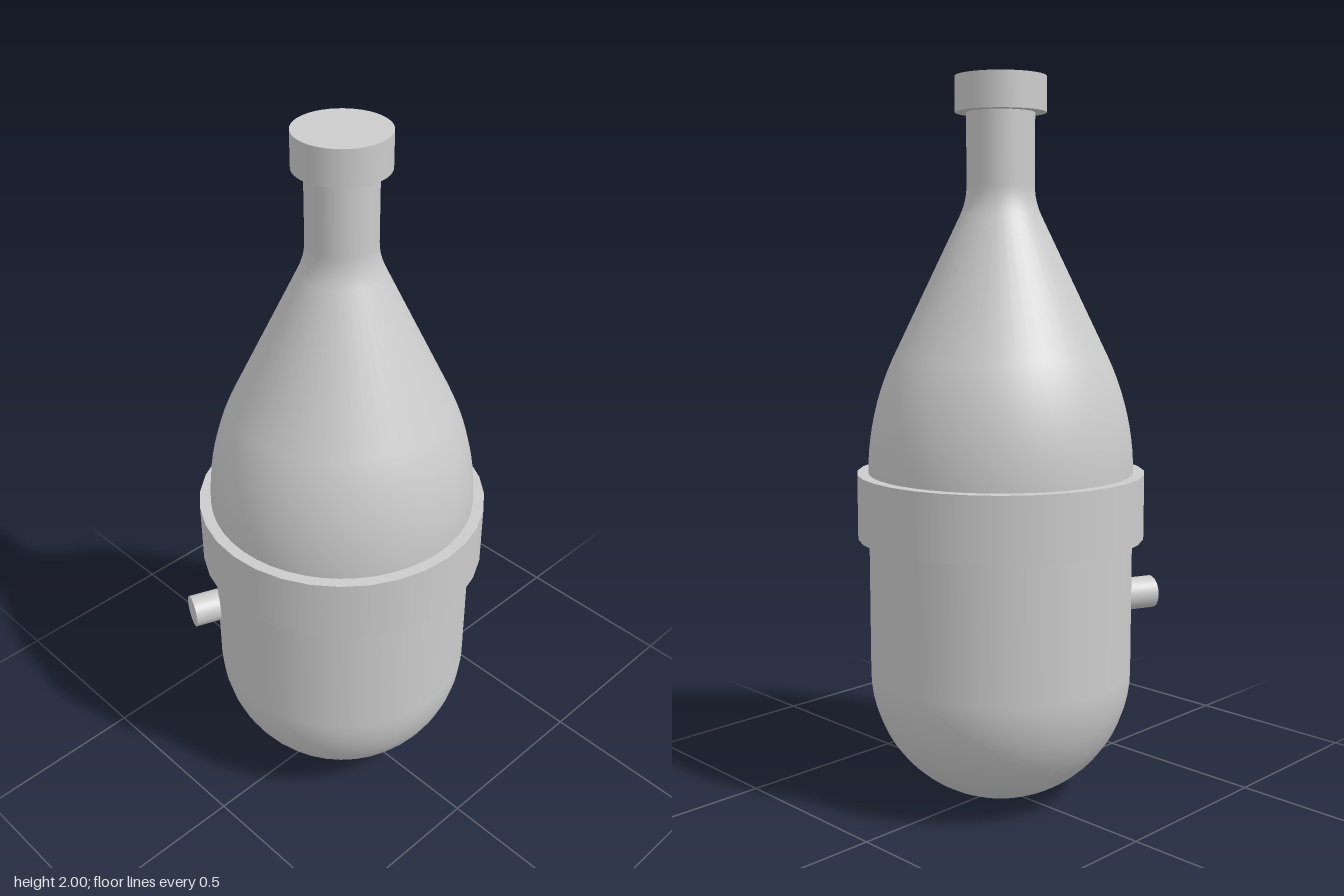
import * as THREE from 'three';

const material = new THREE.MeshStandardMaterial({ color: 0xcccccc });

export function createModel() {
  const group = new THREE.Group();
  const add = (name, geometry, x = 0, y = 0, z = 0) => {
    const mesh = new THREE.Mesh(geometry, material);
    mesh.name = name;
    mesh.position.set(x, y, z);
    group.add(mesh);
    return mesh;
  };
  const R = 0.368;

  // Lower vessel: hemispherical bottom running into a straight wall
  const vessel = [];
  for (let i = 0; i <= 16; i++) {
    const a = (i / 16) * Math.PI / 2;
    vessel.push(new THREE.Vector2(R * Math.sin(a), R * (1 - Math.cos(a))));
  }
  vessel.push(new THREE.Vector2(R, 0.84));
  add('lowerVessel', new THREE.LatheGeometry(vessel, 40));

  // Upper vessel: curved shoulder, straight taper, fillet, then neck
  const upper = [new THREE.Vector2(R, 0.84)];
  const bend = 0.74, maxAngle = 0.44;
  for (let i = 0; i <= 10; i++) {
    const a = (i / 10) * maxAngle;
    upper.push(new THREE.Vector2(R - bend * (1 - Math.cos(a)), 0.93 + bend * Math.sin(a)));
  }
  const fillet = new THREE.QuadraticBezierCurve(
    new THREE.Vector2(0.112, 1.63), new THREE.Vector2(0.093, 1.67), new THREE.Vector2(0.093, 1.71));
  upper.push(...fillet.getPoints(6), new THREE.Vector2(0.093, 1.92));
  add('shoulderAndNeck', new THREE.LatheGeometry(upper, 48));

  // Joint collar and top cap
  add('collar', new THREE.CylinderGeometry(0.4, 0.4, 0.18, 32), 0, 0.84);
  add('neckCap', new THREE.CylinderGeometry(0.124, 0.124, 0.095, 48), 0, 1.9525);

  // Side port, lying level and pointing forward and to the right
  const direction = new THREE.Vector3(-0.37, 0, 0.93).normalize();
  const length = 0.16;
  const centre = new THREE.Vector3(-0.241, 0.56, 0.376).addScaledVector(direction, -length / 2);
  const port = add('sidePort', new THREE.CylinderGeometry(0.046, 0.046, length, 32), ...centre.toArray());
  port.quaternion.setFromUnitVectors(new THREE.Vector3(0, 1, 0), direction);

  return group;
}
